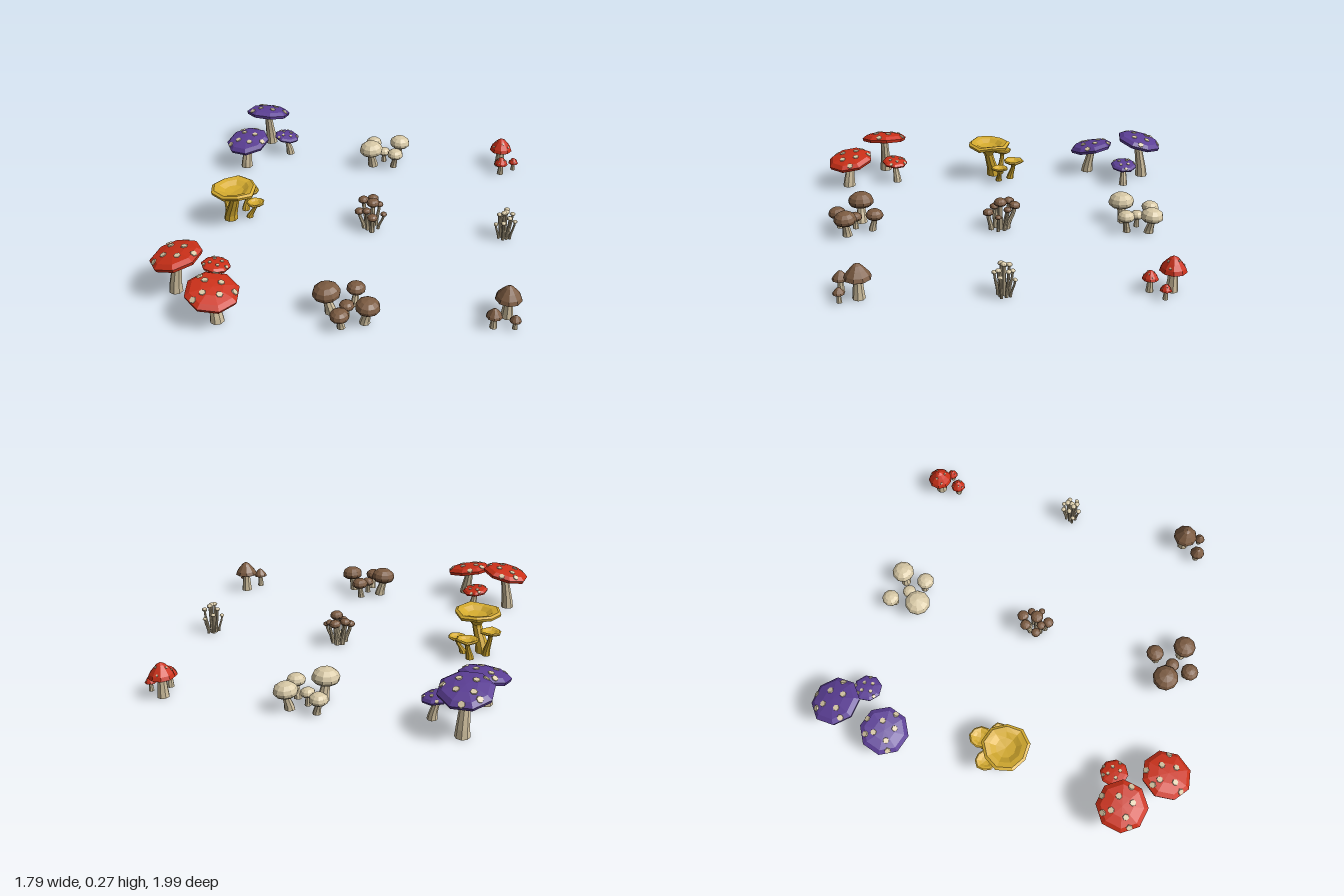
import * as THREE from 'three';

const mat = (name, color) => Object.assign(new THREE.MeshStandardMaterial({ color }), { name });
const red = mat('red cap', 0xcc3018), purple = mat('purple cap', 0x5c3f96);
const yellow = mat('yellow flesh', 0xd6ac2f), brown = mat('brown cap', 0x7d5c42);
const cream = mat('cream cap', 0xd8c9a6), stemColor = mat('pale stem', 0xcfbf9e);
const gill = mat('gills', 0xb5a686);

// Faceted mesh: unshared corners give flat normals
function facet(name, geo, material) {
  const g = geo.index ? geo.toNonIndexed() : geo;
  g.computeVertexNormals();
  const m = new THREE.Mesh(g, material);
  m.name = name;
  return m;
}
const lathe = (pts, R, sides) =>
  new THREE.LatheGeometry(pts.map(([r, y]) => new THREE.Vector2(r * R, y * R)), sides);

// Flared, curved stem from base (bx, bz) on the ground to top (x, y, z)
function stem(bx, bz, x, y, z, rBase, rTop, material = stemColor, sides = 8) {
  const g = new THREE.CylinderGeometry(1, 1, 1, sides, 5);
  const p = g.attributes.position;
  for (let i = 0; i < p.count; i++) {
    const t = p.getY(i) + 0.5, r = rTop + (rBase - rTop) * (1 - t) ** 1.5, s = t * t * (3 - 2 * t);
    p.setXYZ(i, bx + (x - bx) * s + p.getX(i) * r, t * y, bz + (z - bz) * s + p.getZ(i) * r);
  }
  return facet('stem', g, material);
}

// Profiles in units of the cap radius, running from below outward and up to the crown
const FLAT = { under: [[0, 0.06], [0.5, 0.03], [0.96, 0]],
  top: [[0.96, 0], [1, 0.13], [0.82, 0.27], [0.42, 0.35], [0, 0.37]], sides: 8 };
const ROUND = { under: [[0, -0.4], [0.45, -0.4], [0.78, -0.38]],
  top: [[0.78, -0.38], [0.97, -0.2], [1, 0.05], [0.88, 0.35], [0.55, 0.6], [0, 0.7]], sides: 10 };
const CONE = { under: [[0, 0.1], [0.45, 0.08], [0.9, 0]],
  top: [[0.9, 0], [1, 0.06], [0.88, 0.35], [0.58, 0.72], [0.3, 1.03], [0, 1.2]], sides: 9 };

// Cap with gills and optional thin spots: [radius fraction, facet number]
function cap(kind, R, x, y, z, material, { tilt = [0, 0], turn = 0, spots = [], spotSize = 0.085 } = {}) {
  const group = new THREE.Group();
  group.name = 'cap';
  const inner = new THREE.Group();
  inner.add(facet('capTop', lathe(kind.top, R, kind.sides), material));
  inner.add(facet('capGills', lathe(kind.under, R, kind.sides), gill));
  for (const [r, k] of spots) {
    const rr = r / Math.cos(Math.PI / kind.sides);
    const a = ((k + 0.5) / kind.sides) * Math.PI * 2;
    const i = kind.top.findIndex(([q], n) => n > 1 && q <= rr);
    const [r0, y0] = kind.top[i - 1], [r1, y1] = kind.top[i];
    const h = y0 + (y1 - y0) * (rr - r0) / (r1 - r0);
    const s = facet('spot', new THREE.CylinderGeometry(R * spotSize, R * spotSize * 1.15, 0.008, 6), cream);
    s.position.set(Math.sin(a) * r * R, h * R, Math.cos(a) * r * R);
    s.rotation.set(Math.atan2(y1 - y0, r0 - r1), a, 0, 'YXZ');
    inner.add(s);
  }
  inner.rotation.y = turn;
  group.add(inner);
  group.rotation.set(tilt[0], 0, tilt[1]);
  group.position.set(x, y, z);
  return group;
}

function cluster(name, parent) {
  const g = new THREE.Group();
  g.name = name;
  parent.add(g);
  return g;
}

// Broad spotted caps: [x, rim height, z, radius, tiltX, tiltZ, turn]
function spotted(parent, name, material, list) {
  const g = cluster(name, parent);
  const spots = [[0.42, 0], [0.4, 2], [0.44, 4], [0.42, 6], [0.8, 1], [0.84, 3], [0.78, 4], [0.82, 6]];
  for (const [x, y, z, R, tx, tz, turn] of list) {
    g.add(stem(x - tz * 0.12, z + tx * 0.12, x, y + R * 0.1, z, R * 0.19 + 0.011, R * 0.13 + 0.005));
    g.add(cap(FLAT, R, x, y, z, material, { tilt: [tx, tz], turn, spots, spotSize: 0.12 }));
  }
}

// Rounded or pointed caps: [x, cap height, z, radius, base x, base z]
function plain(parent, name, kind, material, list, options = {}) {
  const g = cluster(name, parent);
  list.forEach(([x, y, z, R, bx = x, bz = z], i) => {
    const w = options.stem ?? 0.36;
    g.add(stem(bx, bz, x, y + (kind === ROUND ? -R * 0.3 : R * 0.2), z, R * w * 1.25, R * w * 0.85));
    const tilt = [(z - bz) * 3, -(x - bx) * 3];
    g.add(cap(kind, R, x, y, z, material, { tilt, turn: i * 0.7, spots: options.spots }));
  });
}

// Funnel mushroom with a wavy rim, stem and cap in one flesh
function funnel(g, x, y, z, R, bx, bz, turn) {
  g.add(stem(bx, bz, x, y - R * 0.2, z, R * 0.25 + 0.008, R * 0.2, yellow));
  const geo = lathe([[0.19, -0.42], [0.34, -0.2], [0.66, -0.02], [0.97, 0.06], [1, 0.18], [0.88, 0.25],
    [0.66, 0.2], [0.42, 0.06], [0, 0]], R, 9);
  const p = geo.attributes.position;
  for (let i = 0; i < p.count; i++) {
    const px = p.getX(i), pz = p.getZ(i), a = Math.atan2(px, pz), f = Math.hypot(px, pz) / R;
    const k = 1 + 0.05 * f * Math.sin(3 * a + turn);
    p.setXYZ(i, px * k, p.getY(i) + R * 0.05 * f * f * Math.cos(4 * a + turn), pz * k);
  }
  const m = facet('funnelCap', geo, yellow);
  m.position.set(x, y, z);
  m.rotation.y = turn;
  g.add(m);
}

export function createModel() {
  const model = new THREE.Group();
  model.name = 'mushroomSet';

  spotted(model, 'redSpottedMushrooms', red, [
    [-0.77, 0.198, 0.68, 0.132, 0, 0.2, 0.2],
    [-0.55, 0.143, 0.86, 0.132, 0.13, -0.15, 0.5],
    [-0.605, 0.112, 0.605, 0.074, -0.1, -0.12, 0.1]]);
  spotted(model, 'purpleSpottedMushrooms', purple, [
    [-0.665, 0.205, -0.87, 0.132, -0.23, -0.05, 0.3],
    [-0.73, 0.147, -0.595, 0.127, 0.18, 0.1, 0.1],
    [-0.53, 0.108, -0.765, 0.076, 0, -0.17, 0.5]]);

  // Yellow funnels
  const funnels = cluster('yellowFunnelMushrooms', model);
  funnel(funnels, -0.65, 0.195, 0.04, 0.125, -0.69, 0.01, 0.4);
  funnel(funnels, -0.615, 0.107, -0.11, 0.06, -0.63, -0.09, 1.1);
  funnel(funnels, -0.73, 0.135, -0.045, 0.056, -0.71, -0.03, 2);
  funnel(funnels, -0.555, 0.085, -0.025, 0.05, -0.59, -0.02, 2.8);

  // Rounded clusters
  plain(model, 'brownRoundMushrooms', ROUND, brown, [
    [-0.03, 0.117, 0.74, 0.069, -0.01, 0.74], [0.1, 0.09, 0.655, 0.047, 0.095, 0.67],
    [0.175, 0.1, 0.8, 0.06, 0.16, 0.795], [0.05, 0.08, 0.86, 0.047, 0.055, 0.845],
    [0.07, 0.065, 0.762, 0.037]]);
  plain(model, 'creamRoundMushrooms', ROUND, cream, [
    [0.01, 0.117, -0.67, 0.069, 0.02, -0.685], [0.155, 0.09, -0.675, 0.047, 0.145, -0.685],
    [0.17, 0.1, -0.81, 0.06, 0.155, -0.8], [0.008, 0.08, -0.83, 0.047, 0.02, -0.82],
    [0.08, 0.065, -0.747, 0.037]]);

  // Pointed clusters
  plain(model, 'brownPointedMushrooms', CONE, brown, [
    [0.823, 0.103, 0.655, 0.066], [0.76, 0.064, 0.745, 0.04], [0.86, 0.044, 0.74, 0.029]], { stem: 0.38 });
  plain(model, 'redPointedMushrooms', CONE, red, [
    [0.785, 0.103, -0.795, 0.066], [0.79, 0.064, -0.69, 0.04], [0.865, 0.044, -0.75, 0.029]],
    { stem: 0.38, spots: [[0.45, 0], [0.4, 3], [0.45, 6], [0.72, 1], [0.74, 4], [0.72, 7]] });

  // Tight brown bunch on thin stems
  plain(model, 'brownBunch', ROUND, brown, [
    [0.1, 0.155, -0.012, 0.035, 0.095, -0.01], [0.092, 0.135, -0.088, 0.031, 0.09, -0.05],
    [0.043, 0.14, -0.06, 0.029, 0.065, -0.04], [0.028, 0.105, 0.003, 0.026, 0.055, 0],
    [0.105, 0.1, 0.052, 0.029, 0.1, 0.035], [0.16, 0.095, 0, 0.018, 0.13, 0],
    [0.07, 0.12, 0.02, 0.024, 0.075, 0.015], [0.13, 0.125, -0.05, 0.022, 0.115, -0.035]], { stem: 0.42 });

  // Tight pale bunch, spiralling outward and getting shorter
  const pale = [];
  for (let i = 0; i < 11; i++) {
    const a = i * 2.4, r = 0.018 * Math.sqrt(i), c = Math.cos(a), s = Math.sin(a);
    pale.push([0.812 + c * r, 0.16 - i * 0.0075 + (i % 3) * 0.008, -0.01 + s * r, 0.016 - i * 0.0004,
      0.812 + c * r * 0.6, -0.01 + s * r * 0.6]);
  }
  plain(model, 'paleBunch', ROUND, cream, pale, { stem: 0.5 });
  return model;
}
